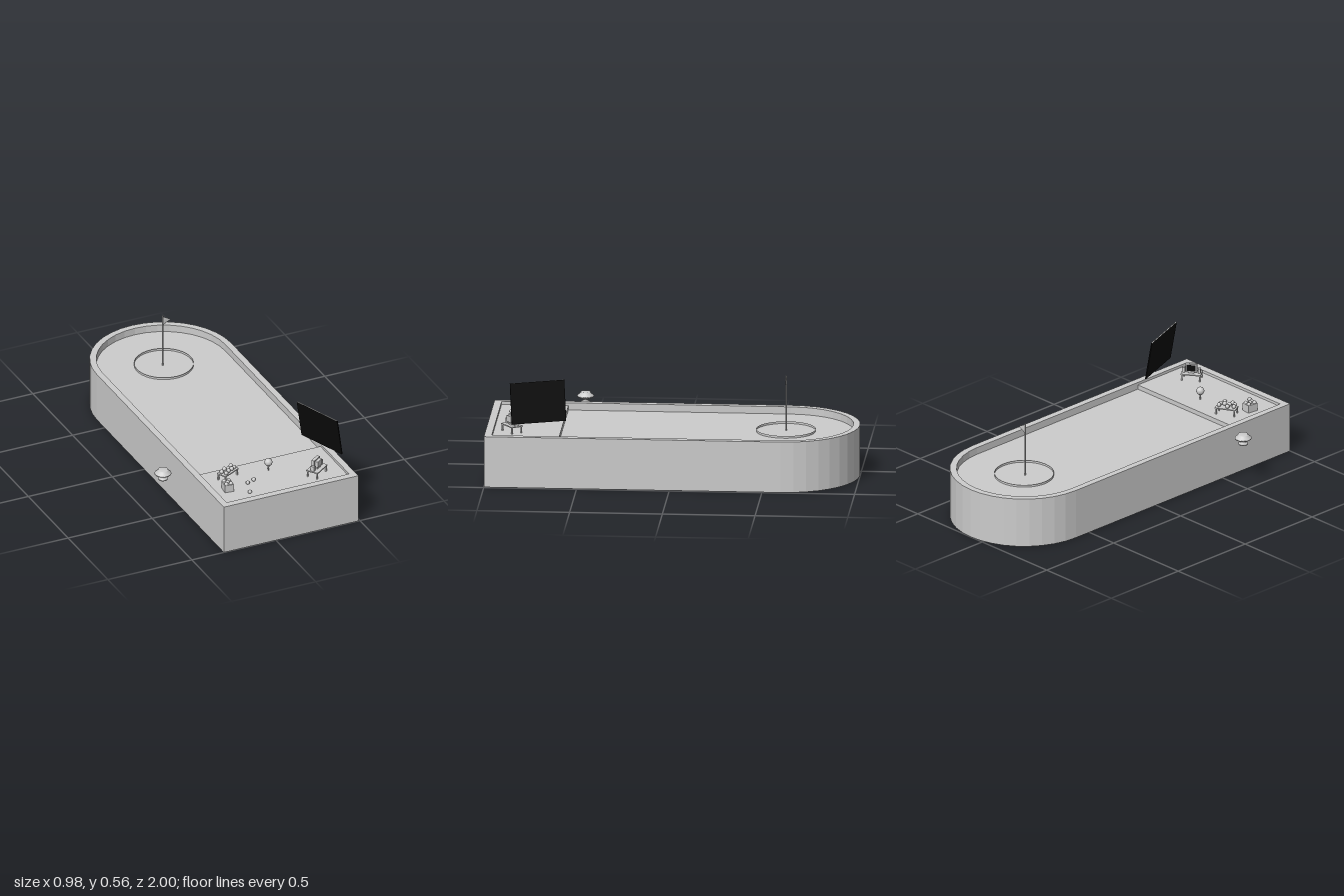
import * as THREE from 'three';

const grey = new THREE.MeshStandardMaterial({ color: 0xcccccc });
grey.name = 'light grey';
const greyOpen = new THREE.MeshStandardMaterial({ color: 0xcccccc, side: THREE.DoubleSide });
greyOpen.name = 'light grey open';
const black = new THREE.MeshStandardMaterial({ color: 0x0a0a0a });
black.name = 'black';

const CX = 0.09, FAIRWAY = 0.24, TEE = 0.265, RIM = 0.28;

function add(parent, name, geometry, x = 0, y = 0, z = 0, material = grey) {
  const mesh = new THREE.Mesh(geometry, material);
  mesh.name = name;
  mesh.position.set(x, y, z);
  parent.add(mesh);
  return mesh;
}
const box = (w, h, d) => new THREE.BoxGeometry(w, h, d);
const ball = (r) => new THREE.SphereGeometry(r, 16, 12);

function subGroup(parent, name, x, y, z, yaw = 0) {
  const g = new THREE.Group();
  g.name = name;
  g.position.set(x, y, z);
  g.rotation.y = yaw;
  parent.add(g);
  return g;
}

// Outline with a straight front and an eighteen-sided half round back
function outline(r, front) {
  const pts = [new THREE.Vector2(CX - r, -front), new THREE.Vector2(CX + r, -front)];
  for (let i = 0; i <= 18; i++) {
    const a = (i / 18) * Math.PI;
    pts.push(new THREE.Vector2(CX + r * Math.cos(a), 0.6 + r * Math.sin(a)));
  }
  return pts;
}
function slab(shape, height) {
  const g = new THREE.ExtrudeGeometry(shape, { depth: height, bevelEnabled: false });
  return g.rotateX(-Math.PI / 2);
}

// Small table with four legs, origin on the floor
function table(parent, name, x, z, yaw, w, d, h) {
  const g = subGroup(parent, name, x, TEE, z, yaw);
  add(g, 'tableTop', box(w, 0.006, d), 0, h - 0.003, 0);
  for (const sx of [-1, 1]) for (const sz of [-1, 1]) {
    add(g, 'tableLeg', box(0.007, h - 0.006, 0.007), sx * (w / 2 - 0.006), (h - 0.006) / 2, sz * (d / 2 - 0.006));
  }
  return g;
}

export function createModel() {
  const model = new THREE.Group();
  model.name = 'golfRange';

  // Tub: rim wall, sunken fairway and raised tee
  const rim = new THREE.Shape(outline(0.4, 1));
  rim.holes.push(new THREE.Path(outline(0.364, 0.96)));
  add(model, 'rimWall', slab(rim, RIM));
  add(model, 'fairway', slab(new THREE.Shape(outline(0.364, 0.96)), FAIRWAY));
  add(model, 'teePlatform', box(0.728, TEE - FAIRWAY, 0.36), CX, (TEE + FAIRWAY) / 2, 0.78);

  // Hole ring, pole and pennant
  add(model, 'holeRing', new THREE.CylinderGeometry(0.16, 0.16, 0.012, 40, 1, true), CX, FAIRWAY + 0.006, -0.6, greyOpen);
  add(model, 'flagPole', new THREE.CylinderGeometry(0.004, 0.004, 0.305, 10), 0.083, FAIRWAY + 0.1525, -0.6);
  const pennant = add(model, 'pennant', new THREE.ConeGeometry(0.025, 0.046, 16), 0.109, 0.514, -0.6);
  pennant.rotation.z = -Math.PI / 2;
  pennant.scale.z = 0.1;

  // Teed ball and loose balls
  add(model, 'teePeg', new THREE.CylinderGeometry(0.006, 0.003, 0.032, 8), CX, TEE + 0.016, 0.715);
  add(model, 'teedBall', ball(0.022), CX, 0.315, 0.715);
  for (const [x, z] of [[-0.105, 0.895], [-0.073, 0.8], [-0.03, 0.783]]) {
    add(model, 'looseBall', ball(0.011), x, TEE + 0.007, z);
  }

  // Ball table
  const ballTable = table(model, 'ballTable', -0.14, 0.69, 0.48, 0.116, 0.06, 0.04);
  for (const [x, z] of [[-0.044, -0.008], [-0.04, 0.02], [-0.01, -0.016], [-0.012, 0.014],
    [0.016, 0.014], [0.04, -0.01], [0.038, 0.014]]) {
    add(ballTable, 'tableBall', ball(0.0115), x, 0.051, z);
  }

  // Crate full of balls
  const crate = subGroup(model, 'ballCrate', -0.198, TEE, 0.81, -0.12);
  add(crate, 'crateBox', box(0.05, 0.043, 0.062), 0, 0.0215, 0);
  for (const [x, z] of [[-0.013, -0.019], [0.013, -0.019], [0, 0], [-0.013, 0.019], [0.013, 0.019]]) {
    add(crate, 'crateBall', ball(0.011), x, 0.045, z);
  }

  // Computer desk with the display facing the fairway
  const desk = table(model, 'computerDesk', 0.309, 0.862, 0.62, 0.11, 0.07, 0.04);
  add(desk, 'monitorStand', box(0.03, 0.008, 0.026), 0, 0.044, 0);
  add(desk, 'monitorCase', box(0.062, 0.046, 0.018), 0, 0.071, -0.008);
  add(desk, 'monitorBack', box(0.046, 0.034, 0.018), 0, 0.071, 0.01);
  add(desk, 'monitorScreen', box(0.05, 0.035, 0.002), 0, 0.071, -0.0175, black);
  for (const s of [-1, 1]) add(desk, 'speaker', box(0.014, 0.028, 0.02), s * 0.043, 0.054, 0);

  // Large tilted display panel, grey edges and black faces
  const panel = subGroup(model, 'displayPanel', 0.395, 0.453, 0.715);
  const along = new THREE.Vector3(0.105, 0, 0.285).normalize();
  const up = new THREE.Vector3(-0.035, 0.22, 0.012);
  up.addScaledVector(along, -up.dot(along)).normalize();
  const normal = new THREE.Vector3().crossVectors(along, up);
  panel.setRotationFromMatrix(new THREE.Matrix4().makeBasis(along, up, normal));
  add(panel, 'panelScreen', box(0.304, 0.222, 0.006), 0, 0, 0, [black, black, grey, grey, black, black]);

  // Floating saucer-shaped lamp
  const profile = [[0, 0], [0.025, 0], [0.025, 0.008], [0.014, 0.009], [0.014, 0.019], [0.022, 0.022],
    [0.045, 0.034], [0.045, 0.04], [0.027, 0.054], [0.027, 0.06], [0, 0.06]];
  const lathe = new THREE.LatheGeometry(profile.map(([r, y]) => new THREE.Vector2(r, y)), 24);
  add(model, 'saucerLamp', lathe, -0.445, 0.24, 0.52);

  return model;
}
